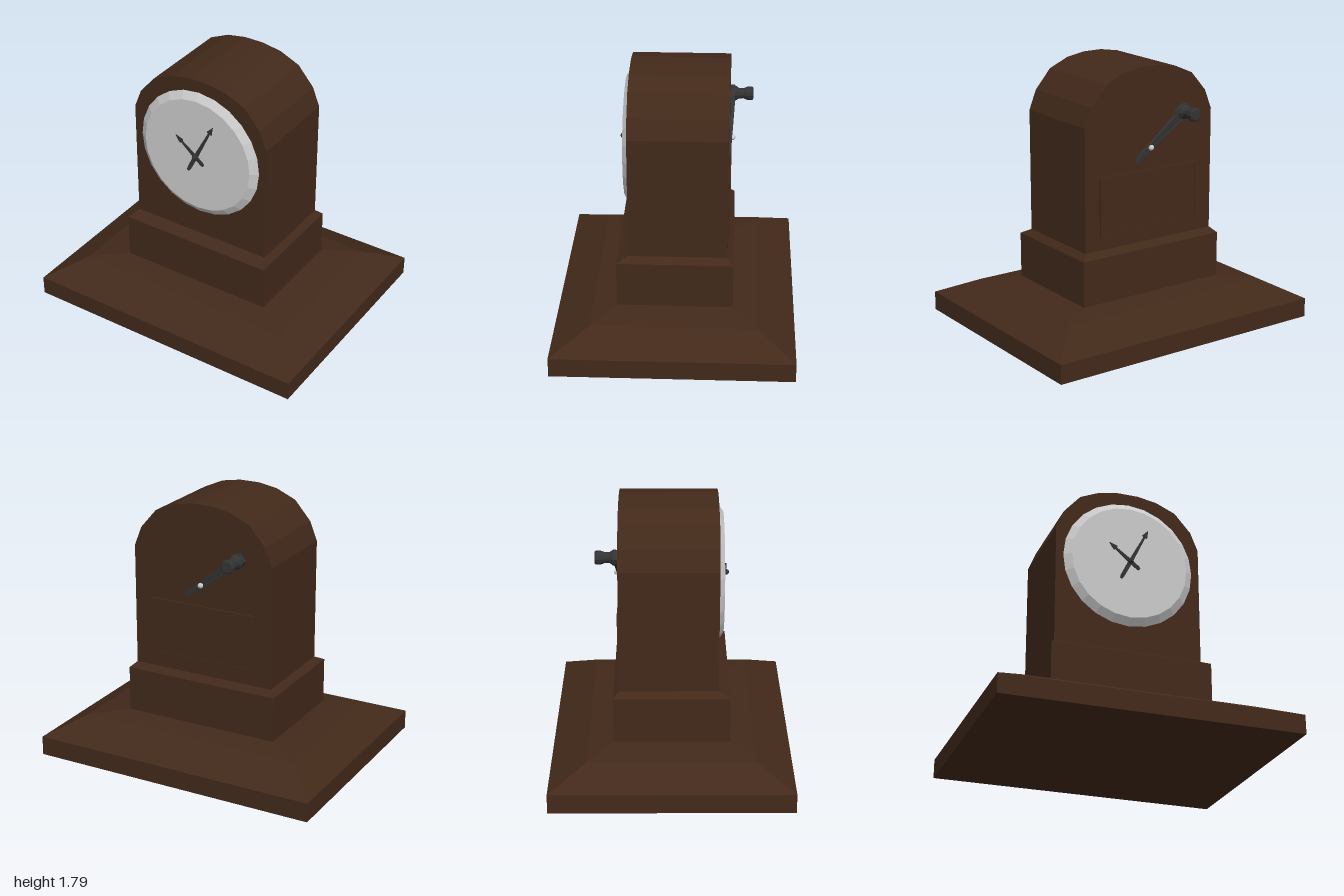
import * as THREE from 'three';

const material = (color) => new THREE.MeshStandardMaterial({ color, flatShading: true });

// Rectangular loops [halfWidth, back z, front z, y], stacked upwards and closed at both ends
function rectLoft(loops) {
  const pos = [], idx = [];
  for (const [w, b, f, y] of loops) pos.push(-w, y, f, w, y, f, w, y, b, -w, y, b);
  for (let l = 0; l < loops.length - 1; l++) {
    for (let i = 0; i < 4; i++) {
      const a = l * 4 + i, c = l * 4 + (i + 1) % 4;
      idx.push(a, c, c + 4, a, c + 4, a + 4);
    }
  }
  const t = (loops.length - 1) * 4;
  idx.push(0, 2, 1, 0, 3, 2, t, t + 1, t + 2, t, t + 2, t + 3);
  const g = new THREE.BufferGeometry();
  g.setAttribute('position', new THREE.Float32BufferAttribute(pos, 3));
  g.setIndex(idx);
  const flat = g.toNonIndexed();
  flat.computeVertexNormals();
  return flat;
}

// Mirrored outline from right-hand points listed bottom to top
function mirroredShape(points) {
  const left = points.map(([x, y]) => [-x, y]).reverse();
  return new THREE.Shape([...points, ...left].map(([x, y]) => new THREE.Vector2(x, y)));
}

const extrude = (shape, depth) =>
  new THREE.ExtrudeGeometry(shape, { depth, bevelEnabled: false });

// Arrow-tipped clock hand pivoting at the origin
function handShape(length, tail) {
  return mirroredShape([
    [0.007, -tail], [0.013, -tail * 0.85], [0.014, 0], [0.007, length - 0.06],
    [0.019, length - 0.055], [0.001, length],
  ]);
}

export function createModel() {
  const model = new THREE.Group();
  const wood = material(0x42291a);
  const dark = material(0x333333);
  const grey = material(0xcccccc);

  const add = (name, geometry, mat, parent = model) => {
    const mesh = new THREE.Mesh(geometry, mat);
    mesh.name = name;
    parent.add(mesh);
    return mesh;
  };

  // Stepped plinth with sloping shoulders
  add('plinth', rectLoft([
    [1, -0.795, 0.795, 0], [1, -0.795, 0.795, 0.13], [0.78, -0.55, 0.545, 0.25],
    [0.548, -0.383, 0.383, 0.275], [0.548, -0.383, 0.383, 0.583], [0.507, -0.343, 0.307, 0.622],
  ]), wood);

  // Arched case
  add('case', extrude(mirroredShape([
    [0.507, 0.61], [0.507, 1.45], [0.455, 1.58], [0.342, 1.71], [0.205, 1.77], [0.07, 1.793],
  ]), 0.65).translate(0, 0, -0.343), wood);

  // Bevelled dial
  add('dial', new THREE.CylinderGeometry(0.405, 0.455, 0.035, 24)
    .rotateX(Math.PI / 2).translate(0, 1.256, 0.3245), grey);

  // Hands and their pin
  const hands = new THREE.Group();
  hands.name = 'hands';
  hands.position.set(0, 1.256, 0);
  model.add(hands);
  const minute = add('minuteHand', extrude(handShape(0.288, 0.145), 0.007), dark, hands);
  minute.position.z = 0.344;
  minute.rotation.z = -0.464;
  const hour = add('hourHand', extrude(handShape(0.19, 0.08), 0.007), dark, hands);
  hour.position.z = 0.353;
  hour.rotation.z = 0.9;
  add('handPin', new THREE.CylinderGeometry(0.008, 0.008, 0.03, 8)
    .rotateX(Math.PI / 2).translate(0, 0, 0.355), dark, hands);
  add('handPinHead', new THREE.SphereGeometry(0.018, 8, 6).translate(0, 0, 0.366), dark, hands);

  // Rear door: raised frame around a slightly sunk panel
  const frame = mirroredShape([[0.395, 0.712], [0.395, 1.108]]);
  frame.holes.push(mirroredShape([[0.372, 0.735], [0.372, 1.085]]));
  add('doorFrame', extrude(frame, 0.012).translate(0, 0, -0.355), wood);
  add('doorPanel', new THREE.BoxGeometry(0.746, 0.352, 0.01).translate(0, 0.91, -0.345), wood);

  // Winding crank on the back, its arm running along local +y
  const crank = new THREE.Group();
  crank.name = 'windingCrank';
  crank.position.set(0, 1.256, -0.343);
  crank.rotation.z = 0.912;
  model.add(crank);
  const arm = extrude(mirroredShape([
    [0.005, -0.15], [0.02, -0.125], [0.022, 0], [0.027, 0.26], [0.045, 0.29],
    [0.05, 0.34], [0.03, 0.385],
  ]), 0.02);
  // The arm thickens towards the handle
  const p = arm.attributes.position;
  for (let i = 0; i < p.count; i++) {
    const y = p.getY(i);
    p.setZ(i, p.getZ(i) < 0.01 ? -0.014 - 0.02 * THREE.MathUtils.clamp(y / 0.3, -0.3, 0.75) : 0);
  }
  arm.computeVertexNormals();
  add('crankArm', arm, dark, crank);
  const knob = [[0, 0.015], [0.05, 0.015], [0.05, 0.035], [0.036, 0.055], [0.034, 0.085],
    [0.044, 0.11], [0.046, 0.145], [0.038, 0.152], [0, 0.152]];
  add('crankHandle', new THREE.LatheGeometry(knob.map(([r, h]) => new THREE.Vector2(r, h)), 10)
    .rotateX(-Math.PI / 2).translate(0, 0.335, 0), dark, crank);
  add('crankPin', new THREE.SphereGeometry(0.019, 8, 6).translate(0, 0, -0.02), grey, crank);

  return model;
}
